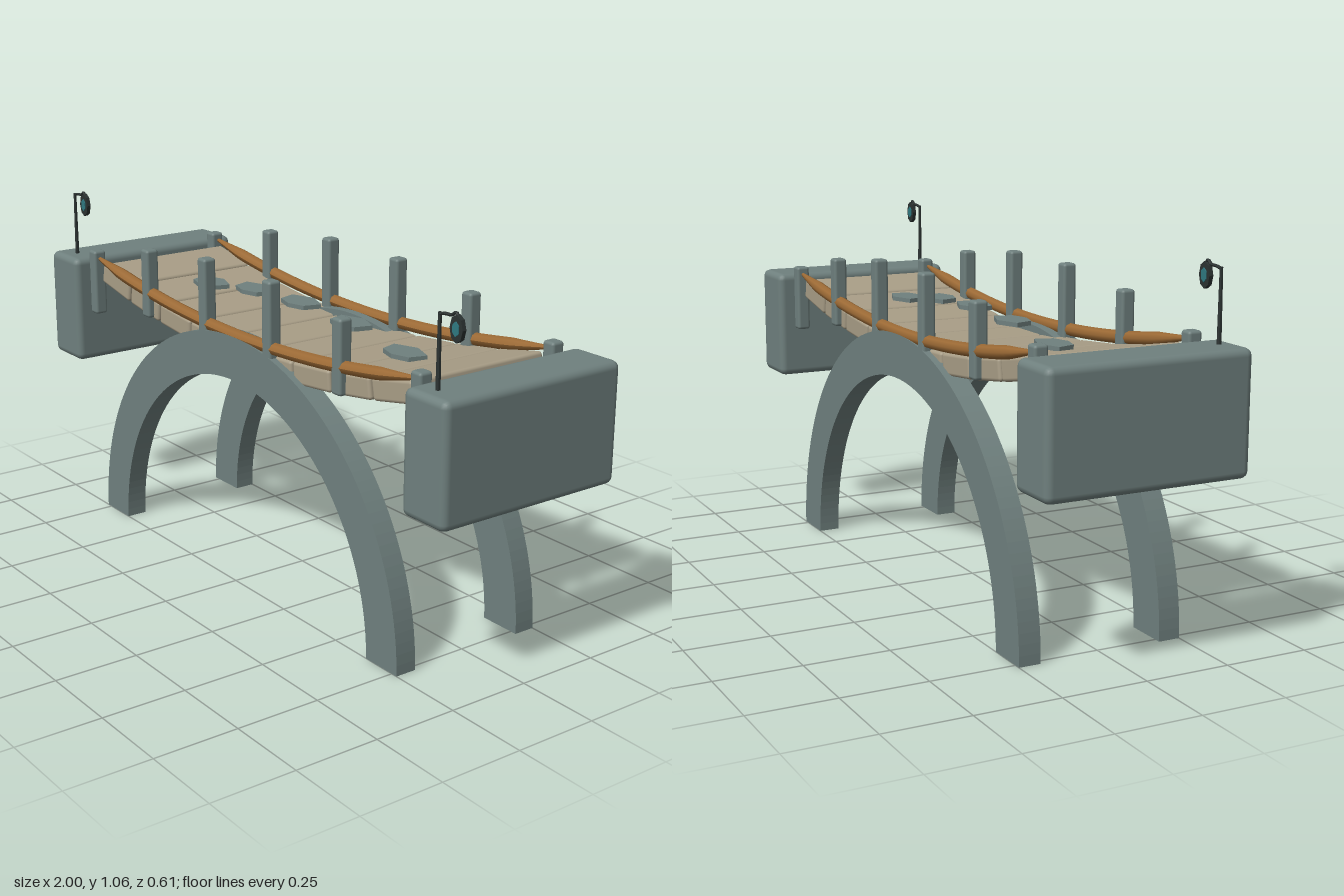
import * as THREE from 'three';
import { RoundedBoxGeometry } from 'three/addons/geometries/RoundedBoxGeometry.js';

const mat = (color) => new THREE.MeshStandardMaterial({ color });
const flat = (color) => new THREE.MeshStandardMaterial({ color, flatShading: true });

export function createModel() {
  const bridge = new THREE.Group();
  bridge.name = 'bridge';
  const stone = mat(0x6f807e), slabStone = flat(0x6f807e);
  const wood = mat(0xa89d86), rope = mat(0x9c6a35);
  const iron = flat(0x2b3231), glow = flat(0x2f7880);

  const add = (name, geometry, material, x = 0, y = 0, z = 0, parent = bridge) => {
    const mesh = new THREE.Mesh(geometry, material);
    mesh.name = name;
    mesh.position.set(x, y, z);
    parent.add(mesh);
    return mesh;
  };

  // Two half-ring arches carrying the deck
  const ring = new THREE.Shape();
  ring.absarc(0, 0, 0.77, 0, Math.PI, false);
  ring.absarc(0, 0, 0.638, Math.PI, 0, true);
  const archGeo = new THREE.ExtrudeGeometry(ring, { depth: 0.065, bevelEnabled: false, curveSegments: 40 });
  for (const z of [0.185, -0.25]) add('arch', archGeo, stone, 0, 0, z);

  // End blocks
  const blockGeo = new RoundedBoxGeometry(0.167, 0.345, 0.605, 2, 0.022);
  for (const s of [-1, 1]) add('abutment', blockGeo, stone, s * 0.9165, 0.6725, 0);

  // Sagging deck of nine planks
  const plankGeo = new RoundedBoxGeometry(0.169, 0.064, 0.46, 2, 0.01);
  for (let i = -4; i <= 4; i++) {
    const x = i * 0.176;
    const plank = add('plank', plankGeo, wood, x, 0.715 + 0.14 * x * x, 0);
    plank.rotation.z = Math.atan(0.28 * x);
  }

  // Rope rails: tubes following the sag, tapering toward the ends
  const sag = [];
  for (let i = -8; i <= 8; i++) sag.push(new THREE.Vector3(i * 0.1, 0.77 + 0.118 * (i / 10) ** 2, 0));
  const ropeGeo = new THREE.TubeGeometry(new THREE.CatmullRomCurve3(sag), 48, 0.019, 8);
  const p = ropeGeo.attributes.position;
  for (let i = 0; i < p.count; i++) {
    const x = p.getX(i), mid = 0.77 + 0.118 * x * x;
    const k = Math.min(1, 0.25 + (0.81 - Math.abs(x)) * 5);
    p.setY(i, mid + (p.getY(i) - mid) * k);
    p.setZ(i, p.getZ(i) * k);
  }
  ropeGeo.computeVertexNormals();
  for (const s of [-1, 1]) add('ropeRail', ropeGeo, rope, 0, 0, s * 0.231);

  // Railing posts: [x, bottom, top]
  const posts = [[0.165, 0.70, 0.97], [0.49, 0.72, 0.935], [0.82, 0.66, 0.87]];
  for (const [x, bottom, top] of posts) {
    const geo = new RoundedBoxGeometry(0.042, top - bottom, 0.042, 2, 0.009);
    for (const sx of [-1, 1]) for (const sz of [-1, 1]) {
      add('railPost', geo, stone, sx * x, (top + bottom) / 2, sz * 0.229);
    }
  }

  // Thin six-sided stones in a shallow arc over the deck
  const outline = [[-0.072, 0.016], [0, 0.043], [0.072, 0.016], [0.056, -0.037], [0, -0.053], [-0.056, -0.037]];
  const slab = new THREE.Shape(outline.map(([x, y]) => new THREE.Vector2(x, y)));
  const slabGeo = new THREE.ExtrudeGeometry(slab, { depth: 0.013, bevelEnabled: false });
  slabGeo.rotateX(-Math.PI / 2);
  for (let i = -3; i <= 3; i++) {
    const x = i * 0.242;
    add('floatingStone', slabGeo, slabStone, x, 0.828 - 0.17 * x * x, 0);
  }

  // Lamps: hooked pole with a flat hanging lantern
  const hook = new THREE.CatmullRomCurve3([
    [0, 0.195], [0.02, 0.2], [0.045, 0.202], [0.06, 0.212], [0.07, 0.2],
  ].map(([x, y]) => new THREE.Vector3(x, y, 0)));
  const poleGeo = new THREE.CylinderGeometry(0.005, 0.007, 0.21, 6);
  const hookGeo = new THREE.TubeGeometry(hook, 12, 0.0045, 6);
  const caseGeo = new THREE.CylinderGeometry(0.024, 0.024, 0.012, 8).rotateX(Math.PI / 2).scale(1, 1.5, 1);
  const coreGeo = new THREE.CylinderGeometry(0.013, 0.013, 0.017, 6).rotateX(Math.PI / 2).scale(1, 1.5, 1);
  for (const x of [-0.915, 0.908]) {
    const lamp = new THREE.Group();
    lamp.name = 'lamp';
    lamp.position.set(x, 0.845, 0.25);
    add('lampPole', poleGeo, iron, 0, 0.095, 0, lamp);
    add('lampHook', hookGeo, iron, 0, 0, 0, lamp);
    add('lanternCase', caseGeo, iron, 0.067, 0.172, 0, lamp);
    add('lanternGlow', coreGeo, glow, 0.067, 0.172, 0, lamp);
    bridge.add(lamp);
  }
  return bridge;
}
